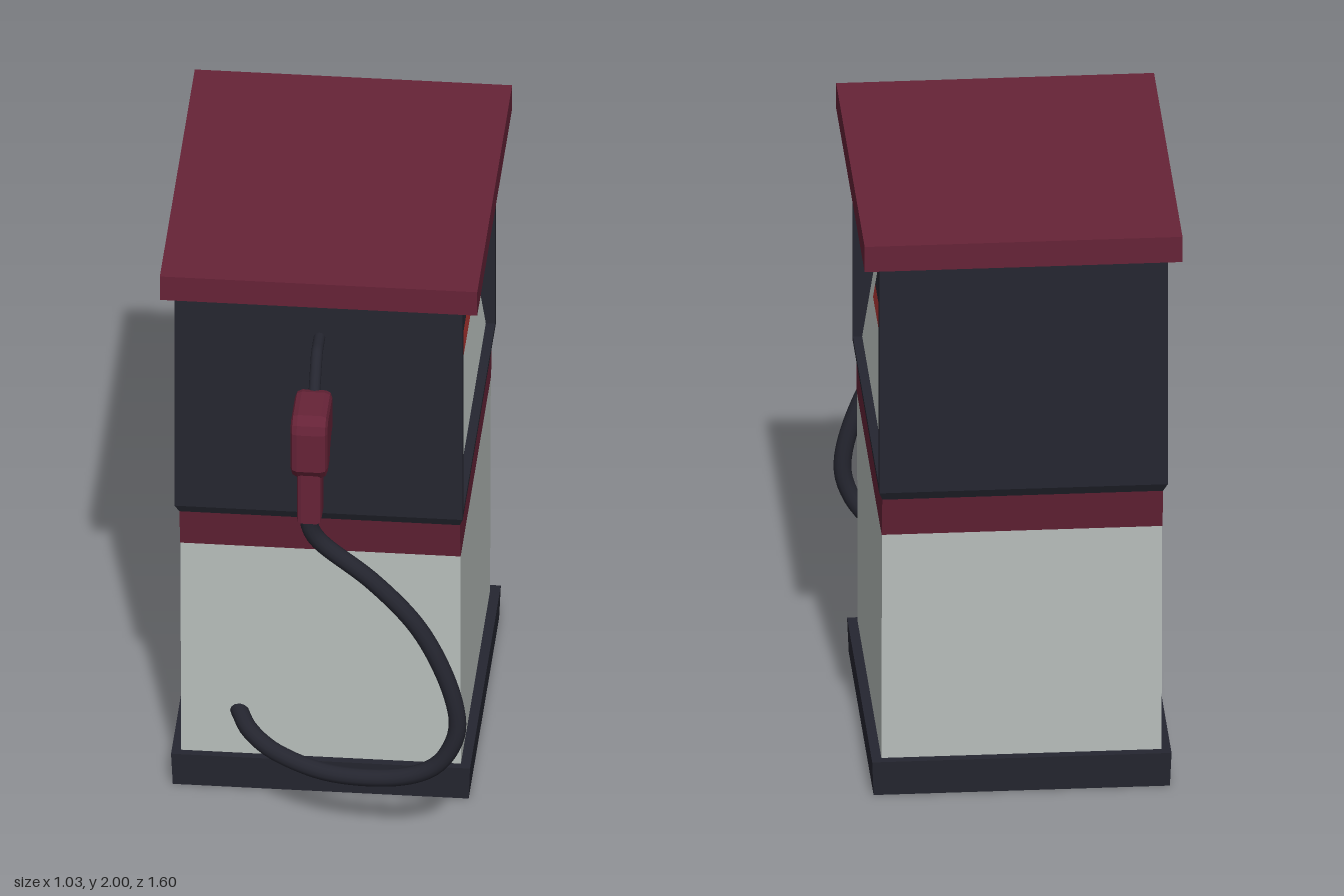
import * as THREE from 'three';

const mat = (name, color) => Object.assign(new THREE.MeshStandardMaterial({ color }), { name });

export function createModel() {
  const dark = mat('charcoal', 0x252630);
  const red = mat('maroon', 0x662337);
  const light = mat('pale grey', 0xb9c0bd);
  const orange = mat('signal red', 0xa53230);

  const model = new THREE.Group();
  model.name = 'fuelPump';
  const add = (name, geometry, material, parent = model) => {
    const mesh = new THREE.Mesh(geometry, material);
    mesh.name = name;
    parent.add(mesh);
    return mesh;
  };

  // Box between two horizontal rectangles [xMin, xMax, zMin, zMax]
  const taperedBox = (y0, bottom, y1, top) => {
    const g = new THREE.BoxGeometry(1, 1, 1);
    const p = g.attributes.position;
    for (let i = 0; i < p.count; i++) {
      const up = p.getY(i) > 0;
      const r = up ? top : bottom;
      p.setXYZ(i, p.getX(i) > 0 ? r[1] : r[0], up ? y1 : y0, p.getZ(i) > 0 ? r[3] : r[2]);
    }
    g.computeVertexNormals();
    return g;
  };
  const block = (x0, x1, y0, y1, z0, z1) => taperedBox(y0, [x0, x1, z0, z1], y1, [x0, x1, z0, z1]);

  // Shape drawn in (z, y), extruded along x and centred on x = 0
  const shapeZY = (pts) => new THREE.Shape(pts.map(([z, y]) => new THREE.Vector2(z, y)));
  const extrudeX = (shape, width, bevel = 0) => {
    const depth = width - 2 * bevel;
    const g = new THREE.ExtrudeGeometry(shape, {
      depth, bevelEnabled: bevel > 0, bevelThickness: bevel, bevelSize: bevel,
      bevelOffset: -bevel, bevelSegments: 2, curveSegments: 10,
    });
    return g.translate(0, 0, -depth / 2).rotateY(-Math.PI / 2);
  };
  const rect = (z0, z1, y0, y1) => [[z0, y0], [z1, y0], [z1, y1], [z0, y1]];
  const tube = (pts, radius, segments, tension = 0.5) => new THREE.TubeGeometry(
    new THREE.CatmullRomCurve3(pts.map((p) => new THREE.Vector3(...p)), false, 'catmullrom', tension),
    segments, radius, 12);

  // Plinth, lower body and tapered band
  add('base', taperedBox(0, [-0.48, 0.48, -0.72, 0.36], 0.12, [-0.485, 0.485, -0.727, 0.367]), dark);
  add('lowerBody', taperedBox(0.12, [-0.455, 0.453, -0.695, 0.34], 0.93, [-0.455, 0.453, -0.72, 0.36]), light);
  add('band', taperedBox(0.93, [-0.456, 0.454, -0.72, 0.36], 1.07, [-0.456, 0.454, -0.75, 0.39]), red);

  // Upper cabinet: solid block with a window frame on its left side
  const front = 0.405, back = -0.765, side = 0.465, recess = 0.15;
  add('cabinetFoot', taperedBox(1.07, [-0.456, 0.454, -0.75, 0.39], 1.1, [-0.47, side, back, front]), dark);
  add('cabinet', block(-0.47, side - recess, 1.1, 1.91, back, front), dark);
  const frame = shapeZY(rect(back, front, 1.1, 1.91));
  frame.holes.push(new THREE.Path(rect(-0.74, 0.38, 1.118, 1.88).map((p) => new THREE.Vector2(...p))));
  add('displayFrame', extrudeX(frame, recess), dark).position.x = side - recess / 2;

  // Sloping display panel, nearest the surface at its bottom edge
  const y0 = 1.118, y1 = 1.86, xLow = 0.435, xHigh = 0.318;
  add('displayPanel', taperedBox(y0, [0.31, xLow, -0.74, 0.38], y1, [0.31, xHigh, -0.74, 0.38]), light);
  const display = new THREE.Group();
  display.name = 'display';
  display.position.set(xLow, y0, 0);
  display.rotation.z = Math.atan2(xLow - xHigh, y1 - y0);
  model.add(display);
  const slope = Math.cos(display.rotation.z);
  const plate = (name, a, b, z0, z1, material) => add(name,
    block(-0.002, 0.005, (a - y0) / slope, (b - y0) / slope, z0, z1), material, display);
  plate('screen', 1.36, 1.62, -0.625, 0.26, dark);
  plate('screenStripe', 1.315, 1.36, -0.625, 0.26, orange);
  plate('readoutFront', 1.65, 1.71, -0.145, 0.225, dark);
  plate('readoutBack', 1.65, 1.71, -0.585, -0.215, dark);

  // Roof slab with dark underside
  add('roof', block(-0.515, 0.515, 1.91, 2, -0.8, 0.437), [red, red, red, dark, red, red]);

  // Nozzle hanging on the front
  const nozzle = new THREE.Group();
  nozzle.name = 'nozzle';
  model.add(nozzle);
  add('nozzleBody', extrudeX(shapeZY([
    [0.575, 1.545], [0.635, 1.535], [0.665, 1.515], [0.69, 1.475], [0.775, 1.475], [0.8, 1.51],
    [0.8, 1.65], [0.79, 1.68], [0.755, 1.7], [0.615, 1.7], [0.585, 1.69], [0.575, 1.67],
  ]), 0.12, 0.022), red, nozzle);
  add('handle', extrudeX(shapeZY(rect(0.69, 0.782, 1.3, 1.49)), 0.08, 0.014), red, nozzle);
  add('spout', tube([[0, 1.775, 0.39], [0, 1.775, 0.45], [0, 1.773, 0.49], [0, 1.755, 0.515],
    [0, 1.675, 0.59]], 0.019, 24), dark, nozzle);

  // Trigger guard loop and trigger
  const guard = shapeZY(rect(0.583, 0.695, 1.3, 1.55));
  const gap = new THREE.Path();
  gap.moveTo(0.592, 1.31);
  gap.lineTo(0.592, 1.42);
  gap.quadraticCurveTo(0.6, 1.49, 0.635, 1.515);
  gap.quadraticCurveTo(0.67, 1.51, 0.688, 1.46);
  gap.lineTo(0.688, 1.31);
  guard.holes.push(gap);
  add('triggerGuard', extrudeX(guard, 0.03), dark, nozzle);
  add('trigger', tube([[0, 1.53, 0.645], [0, 1.48, 0.65], [0, 1.42, 0.668], [0, 1.36, 0.662]], 0.007, 12), dark, nozzle);

  // Hose looping from the handle back into the lower body
  add('hose', tube([
    [0, 1.32, 0.742], [0, 1.26, 0.737], [0.045, 1.185, 0.726], [0.2, 1.045, 0.71], [0.34, 0.88, 0.702],
    [0.43, 0.7, 0.7], [0.474, 0.53, 0.7], [0.455, 0.415, 0.698], [0.385, 0.32, 0.688],
    [0.25, 0.26, 0.66], [0.05, 0.235, 0.61], [-0.12, 0.25, 0.535], [-0.22, 0.27, 0.44], [-0.27, 0.285, 0.33],
  ], 0.029, 80), dark);

  return model;
}
